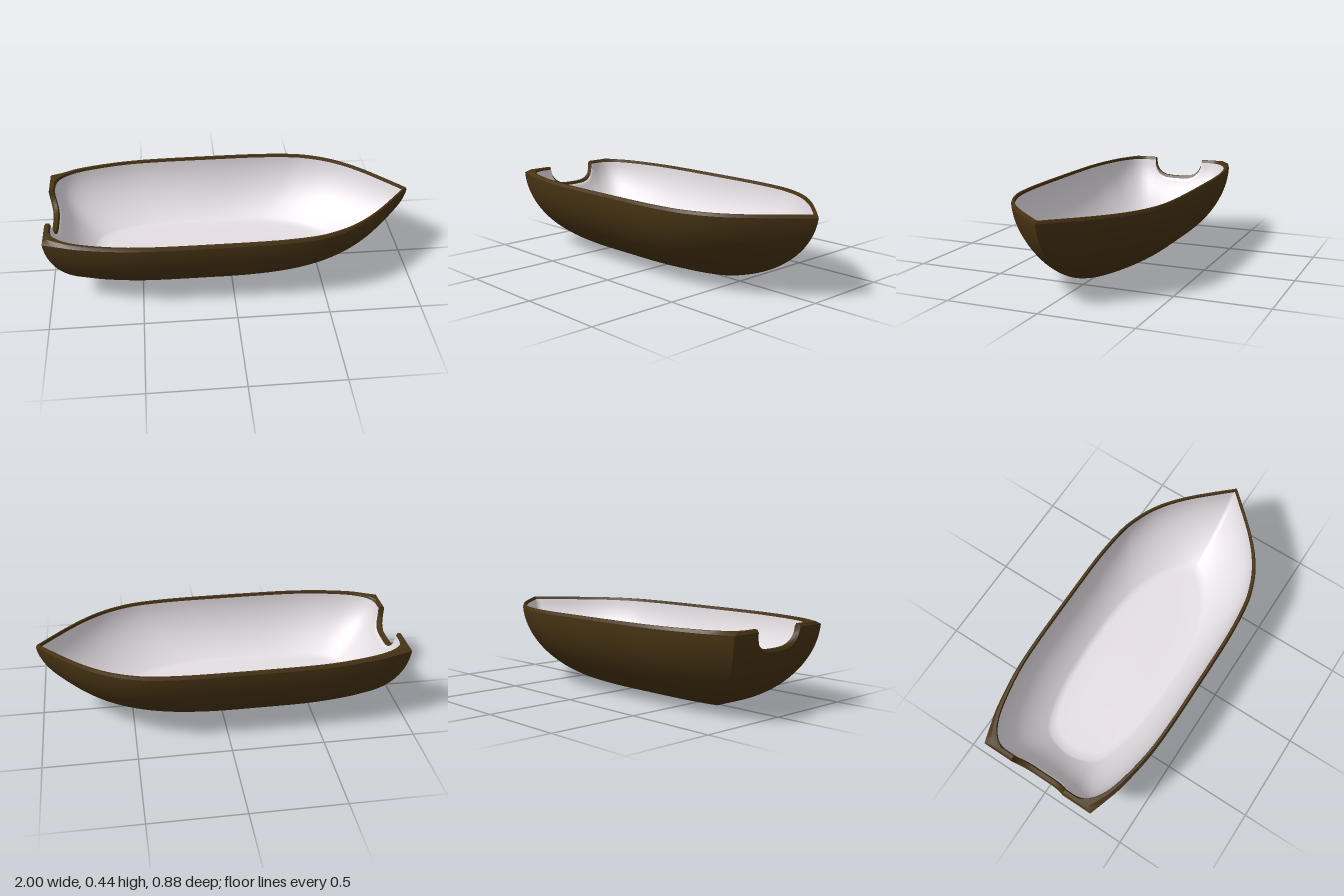
import * as THREE from 'three';
import { toCreasedNormals } from 'three/addons/utils/BufferGeometryUtils.js';

const { lerp, smoothstep } = THREE.MathUtils;
const R = 0.44, RIM = 0.445, FLOOR = 0.105;

// Size, rounding of the low stern, and shortening of the low ends for the two skins
const HULL = { size: 1, sternRound: 0, inset: 0 };
const LINING = { size: 0.945, sternRound: 0.8, inset: 0.1 };

// Plan outline: straight transom columns, then a curved side to the bow, mirrored into a closed loop
function outline(transomX, transomZ, side) {
  const pts = transomZ.map(z => new THREE.Vector2(transomX, z));
  const curve = new THREE.SplineCurve(
    [pts[pts.length - 1], ...side.map(p => new THREE.Vector2(...p))]);
  pts.push(...curve.getPoints(48).slice(1));
  const mirrored = pts.slice(1, -1).reverse().map(p => new THREE.Vector2(p.x, -p.y));
  return [...pts, ...mirrored];
}

const NOTCH = [0, 0.04, 0.08, 0.11, 0.13, 0.143, 0.152, 0.157, 0.16];
const outer = outline(-1, [...NOTCH, 0.22, 0.28, 0.33], [
  [-0.9, 0.363], [-0.8, 0.392], [-0.6, 0.426], [-0.4, 0.438], [-0.1, 0.44], [0.2, 0.438],
  [0.4, 0.421], [0.5, 0.398], [0.6, 0.358], [0.7, 0.296], [0.8, 0.211], [0.9, 0.109], [1, 0]]);
const inner = outline(-0.965, [...NOTCH, 0.18, 0.2, 0.22], [
  [-0.95, 0.27], [-0.9, 0.318], [-0.8, 0.361], [-0.6, 0.402], [-0.4, 0.416], [-0.1, 0.418],
  [0.2, 0.416], [0.4, 0.399], [0.5, 0.375], [0.6, 0.334], [0.7, 0.271], [0.8, 0.185],
  [0.9, 0.081], [0.975, 0]]);

// Rim height, dipping into the rounded notch in the transom
const rimHeight = p => p.x < -0.96 && Math.abs(p.y) < 0.16
  ? RIM - 0.11 * Math.sqrt(1 - Math.pow(Math.abs(p.y) / 0.16, 4)) : RIM;

const angleAt = y => Math.acos(1 - Math.min(y, R) / R);
const heightAt = a => R * (1 - Math.cos(a));

// Places an outline point on the waterline at height y; low waterlines round off to an ellipse
function onHull(p, y, { size, sternRound, inset }) {
  const arc = Math.max(Math.sin(angleAt(y)), 0);
  const width = Math.pow(arc, 1.1);
  const round = (1 - width * width) * lerp(sternRound, 1, smoothstep(p.x, -0.4, 0.5));
  const angle = Math.atan2(p.y / R, p.x);
  const px = lerp(p.x, Math.cos(angle) * size, round);
  const pz = lerp(p.y, Math.sin(angle) * size * R, round);
  // Stem and transom lean outward up to the rim
  const lean = 0.06 * Math.min(y / R, 1);
  const aft = 0.94 * arc + lean, fore = 0.94 * width + lean;
  const stern = -0.56 - 0.44 * aft + inset * (1 - aft);
  const bow = 0.25 + 0.75 * fore - 2 * inset * (1 - fore);
  return new THREE.Vector3(lerp(stern, bow, (px + 1) / 2), y, pz * width);
}

// Skin over closed rows of points
function skin(name, rows, color, crease) {
  const n = rows[0].length, index = [];
  for (let r = 0; r < rows.length - 1; r++) {
    for (let c = 0; c < n; c++) {
      const a = r * n + c, b = r * n + (c + 1) % n;
      index.push(a, b, a + n, b, b + n, a + n);
    }
  }
  const geo = new THREE.BufferGeometry().setFromPoints(rows.flat());
  geo.setIndex(index);
  const mesh = new THREE.Mesh(toCreasedNormals(geo, crease),
    new THREE.MeshStandardMaterial({ color, side: THREE.DoubleSide }));
  mesh.name = name;
  return mesh;
}

export function createModel() {
  const group = new THREE.Group();
  group.name = 'boat';
  const brown = 0x483414, pale = 0xe5dfe4;
  const steps = 24;

  // Outer shell from the keel line up to the rim chamfer
  const shell = [];
  for (let i = 0; i <= steps; i++) {
    shell.push(outer.map(p =>
      onHull(p, heightAt(angleAt(rimHeight(p) - 0.015) * i / steps), HULL)));
  }
  group.add(skin('hull', shell, brown, 0.9));

  // Rim: chamfered flat top joining the shell to the lining
  const rim = [shell[steps]];
  for (const [k, drop] of [[0.3, 0], [0.8, 0], [1, 0.015]]) {
    rim.push(outer.map((p, i) => {
      const y = rimHeight(p);
      const v = onHull(p, y, HULL).lerp(onHull(inner[i], y, LINING), k);
      v.y -= drop;
      return v;
    }));
  }
  group.add(skin('rim', rim, brown, 0.5));

  // Lining from the rim down to the floor, closed by a flat floor
  const lining = [rim[3]];
  for (let i = 1; i <= steps; i++) {
    lining.push(inner.map(p => {
      const top = angleAt(rimHeight(p) - 0.015);
      return onHull(p, heightAt(lerp(top, angleAt(FLOOR), i / steps)), LINING);
    }));
  }
  for (const k of [0.92, 0.5, 0]) {
    lining.push(lining[steps].map(v =>
      new THREE.Vector3(-0.1 + (v.x + 0.1) * k, FLOOR - 0.004, v.z * k)));
  }
  group.add(skin('lining', lining, pale, 2));

  return group;
}
